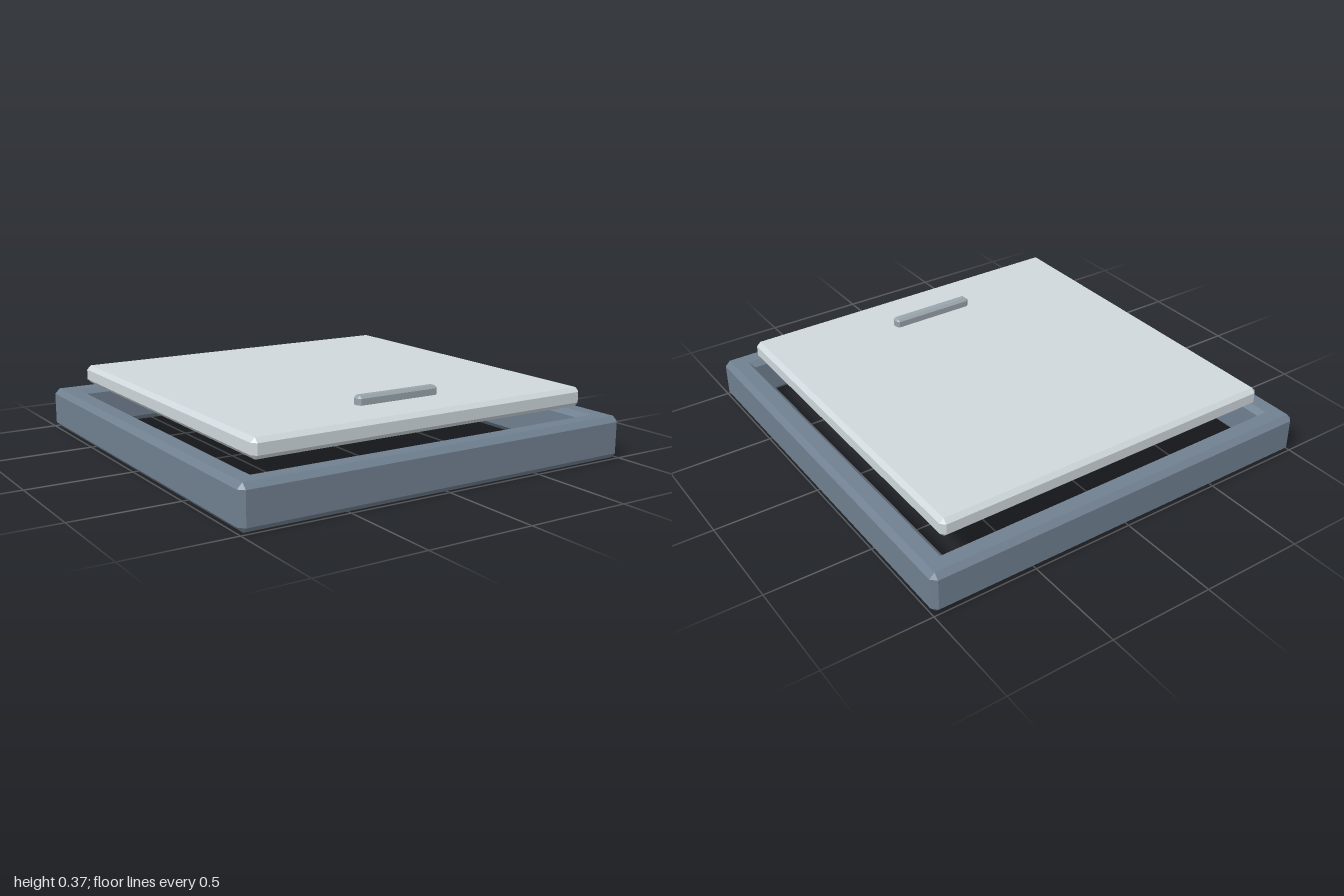
import * as THREE from 'three';
import { ConvexGeometry } from 'three/addons/geometries/ConvexGeometry.js';

// Box with every edge and corner cut flat by b
function chamferBox(w, h, d, b) {
  const pts = [];
  for (const x of [-w / 2, w / 2]) for (const y of [-h / 2, h / 2]) for (const z of [-d / 2, d / 2]) {
    const [sx, sy, sz] = [x, y, z].map((v) => Math.sign(v) * b);
    pts.push(
      new THREE.Vector3(x, y - sy, z - sz),
      new THREE.Vector3(x - sx, y, z - sz),
      new THREE.Vector3(x - sx, y - sy, z));
  }
  return new ConvexGeometry(pts);
}

// Square ring: each profile entry [s, t, y] gives a loop with corners (s,t) and (t,s)
function squareRing(profile) {
  const loops = profile.map(([s, t, y]) => {
    const loop = [];
    for (let k = 0; k < 4; k++) for (let [x, z] of [[s, t], [t, s]]) {
      for (let r = 0; r < k; r++) [x, z] = [-z, x];
      loop.push(new THREE.Vector3(x, y, z));
    }
    return loop;
  });
  const pts = [];
  const tri = (a, b, c) => {
    if (!a.equals(b) && !b.equals(c) && !c.equals(a)) pts.push(a, b, c);
  };
  loops.forEach((lower, i) => {
    const upper = loops[(i + 1) % loops.length];
    for (let j = 0; j < 8; j++) {
      const n = (j + 1) % 8;
      tri(lower[j], upper[j], upper[n]);
      tri(lower[j], upper[n], lower[n]);
    }
  });
  const geometry = new THREE.BufferGeometry().setFromPoints(pts);
  geometry.computeVertexNormals();
  return geometry;
}

export function createModel() {
  const model = new THREE.Group();
  model.name = 'hatch';

  const add = (name, geometry, color, x = 0, y = 0, z = 0) => {
    const mesh = new THREE.Mesh(geometry, new THREE.MeshStandardMaterial({ color, flatShading: true }));
    mesh.name = name;
    mesh.position.set(x, y, z);
    model.add(mesh);
  };

  // Frame: chamfered outside and around the opening, top and bottom
  const b = 0.025, h = 0.2, inner = 0.88;
  add('frame', squareRing([
    [1 - b, 1 - b, 0],
    [1, 1 - b, b],
    [1, 1 - b, h - b],
    [1 - b, 1 - b, h],
    [inner + b, inner + b, h],
    [inner, inner, h - b],
    [inner, inner, b],
    [inner + b, inner + b, 0],
  ]), 0x708090);

  // Panel hovering above the opening
  add('panel', chamferBox(1.74, 0.09, 1.74, 0.02), 0xcfd8dc, 0, 0.283, 0);

  // Handle set into the panel near the front edge
  add('handle', chamferBox(0.43, 0.064, 0.053, 0.012), 0x99a5ac, 0, 0.338, 0.607);

  return model;
}
